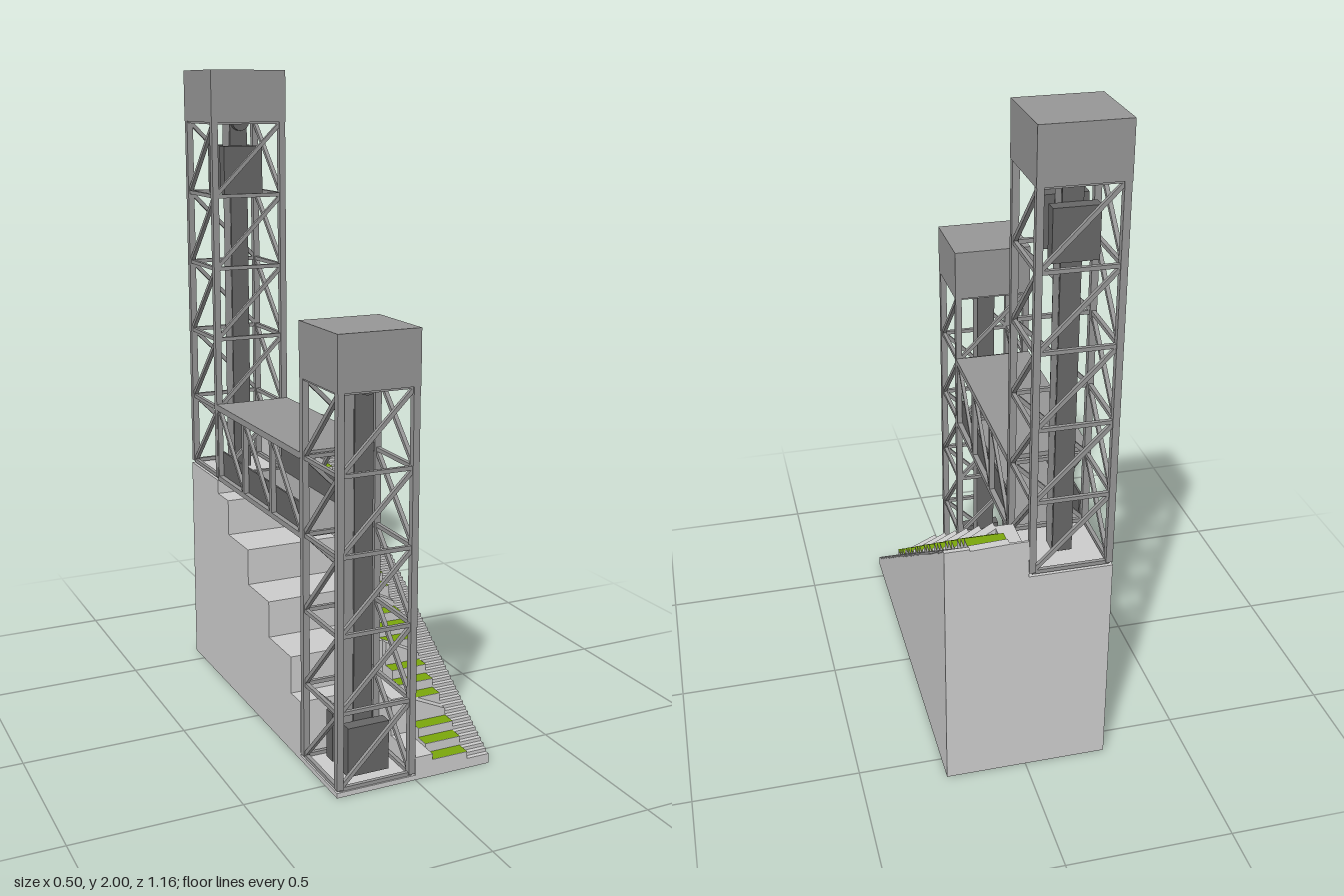
import * as THREE from 'three';

const mat = (color) => new THREE.MeshStandardMaterial({ color, flatShading: true });
const CONCRETE = mat(0xcccccc), STEEL = mat(0x969696), DARK = mat(0x666666), GREEN = mat(0x7ba60c);

function add(parent, name, geometry, material) {
  const mesh = new THREE.Mesh(geometry, material);
  mesh.name = name;
  parent.add(mesh);
  return mesh;
}

// Box given by its min and max on each axis
function box(parent, name, material, x0, x1, y0, y1, z0, z1) {
  const m = add(parent, name, new THREE.BoxGeometry(x1 - x0, y1 - y0, z1 - z0), material);
  m.position.set((x0 + x1) / 2, (y0 + y1) / 2, (z0 + z1) / 2);
}

// Square bar between two points, in the parent's own frame
function bar(parent, name, a, b, size) {
  const from = new THREE.Vector3(...a), to = new THREE.Vector3(...b);
  const m = add(parent, name, new THREE.BoxGeometry(size, size, from.distanceTo(to)), STEEL);
  m.quaternion.setFromRotationMatrix(new THREE.Matrix4().lookAt(to, from, new THREE.Vector3(0, 1, 0)));
  m.position.copy(from).add(to).multiplyScalar(0.5);
}

// Stepped solid from [z, y] points, front to back, extruded along x down to the ground
function solid(parent, name, x0, x1, pts) {
  const shape = new THREE.Shape();
  shape.moveTo(-pts[0][0], 0);
  pts.forEach(([z, y]) => shape.lineTo(-z, y));
  shape.lineTo(-pts[pts.length - 1][0], 0);
  const g = new THREE.ExtrudeGeometry(shape, { depth: x1 - x0, bevelEnabled: false });
  g.rotateY(Math.PI / 2).translate(x0, 0, 0);
  add(parent, name, g, CONCRETE);
}

const END = 0.58, PITCH = 1 / 6, TOP = 0.81;
const terraceZ = (k) => Math.min(END, 0.594 - PITCH * k);
const terraceY = (k) => Math.min(TOP, 0.07 + 0.115 * k);
const stairY = (z) => 0.03 + 0.672 * (END - z);

// Terrace profile between two z limits
function terraces(zFront, zBack) {
  const pts = [];
  for (let k = 0; k <= 7; k++) {
    const a = Math.min(zFront, terraceZ(k));
    const b = Math.max(zBack, k < 7 ? terraceZ(k + 1) : -END);
    if (a - b > 1e-4) pts.push([a, terraceY(k)], [b, terraceY(k)]);
  }
  return pts;
}

function buildHill() {
  const hill = new THREE.Group();
  hill.name = 'steppedHill';
  // Lower floors for the towers, with terraces between them
  solid(hill, 'towerSideGround', -0.25, 0, [
    [END, 0.015], [0.33, 0.015], ...terraces(0.33, -0.33), [-0.33, 0.69], [-END, 0.69],
  ]);
  solid(hill, 'terraces', 0, 0.056, terraces(END, -END));

  // Narrow stair along the outer edge
  const n = 77, stair = [];
  for (let i = 0; i < n; i++) {
    const y = 0.03 + (TOP - 0.03) * i / (n - 1);
    stair.push([END - 2 * END * i / n, y], [END - 2 * END * (i + 1) / n, y]);
  }
  solid(hill, 'stair', 0.171, 0.245, stair);

  // Planted steps, three per terrace, each with a green top
  const steps = [];
  for (let k = 0; k < 7; k++) {
    const front = END - PITCH * k;
    for (let j = 0; j < 3; j++) {
      const a = front - 0.0437 * j, b = a - 0.0437, y = terraceY(k) - 0.018 + 0.029 * j;
      steps.push([a, y], [b, y]);
      const top = new THREE.PlaneGeometry(0.115, a - b).rotateX(-Math.PI / 2);
      add(hill, 'greenTread', top, GREEN).position.set(0.1135, y + 0.001, (a + b) / 2);
    }
    const [z, y] = steps[steps.length - 1];
    steps.push([Math.max(-END, z - 0.0356), y]);
  }
  solid(hill, 'plantedSteps', 0.056, 0.171, steps);

  // Sloped landings joining each terrace to the stair
  for (let k = 1; k <= 7; k++) {
    const front = terraceZ(k) + 0.021, back = Math.max(-END, terraceZ(k) - 0.014);
    const yStair = Math.min(TOP, stairY(terraceZ(k)));
    const s = new THREE.Shape([[0.056, 0], [0.171, 0], [0.171, yStair], [0.056, terraceY(k)]]
      .map(([x, y]) => new THREE.Vector2(x, y)));
    const g = new THREE.ExtrudeGeometry(s, { depth: front - back, bevelEnabled: false });
    add(hill, 'slopedLanding', g.translate(0, 0, back), CONCRETE);
  }
  return hill;
}

function buildTower(name, z, base, carY) {
  const tower = new THREE.Group();
  tower.name = name;
  const h = 0.114, bays = 5, top = 1.14, bay = top / bays;
  // Four identical lattice sides
  for (let side = 0; side < 4; side++) {
    const face = new THREE.Group();
    face.name = 'latticeSide';
    face.rotation.y = side * Math.PI / 2;
    box(face, 'cornerColumn', STEEL, h - 0.01, h + 0.01, 0, top, h - 0.01, h + 0.01);
    for (let i = 0; i <= bays; i++) {
      const y = i * bay;
      bar(face, 'crossBar', [-h, y, h], [h, y, h], 0.012);
      if (i < bays) bar(face, 'diagonal', [-h, y, h], [h, y + bay, h], 0.012);
    }
    tower.add(face);
  }
  box(tower, 'cap', STEEL, -0.125, 0.125, top, 1.3, -0.125, 0.125);
  // Lift mast with dark guides, front pulley and the car around it
  box(tower, 'mast', STEEL, -0.03, 0.03, 0, top, -0.028, 0.028);
  const pulley = add(tower, 'pulley', new THREE.CylinderGeometry(0.028, 0.028, 0.02, 16), DARK);
  pulley.rotation.x = Math.PI / 2;
  pulley.position.set(0, top, 0.045);
  for (const s of [-1, 1]) {
    box(tower, 'guide', DARK, -0.029, 0.029, 0, top, s * 0.03 - 0.003, s * 0.03 + 0.003);
    const near = s * 0.033, far = s * 0.072;
    box(tower, 'liftCar', DARK, -0.065, 0.065, carY, carY + 0.15, Math.min(near, far), Math.max(near, far));
  }
  tower.position.set(-0.125, base, z);
  return tower;
}

function buildBridge() {
  const bridge = new THREE.Group();
  bridge.name = 'bridge';
  const z = 0.33, span = 2 * z / 3, lo = 0.698, hi = 0.934;
  box(bridge, 'floor', STEEL, -0.24, -0.01, 0.69, 0.702, -z, z);
  box(bridge, 'roof', STEEL, -0.25, 0, 0.925, 0.945, -z, z);
  // Two mirrored truss sides with dark parapets behind
  for (const s of [-1, 1]) {
    const x = -0.125 + s * 0.115;
    box(bridge, 'parapet', DARK, x - s * 0.012 - 0.003, x - s * 0.012 + 0.003, 0.70, 0.785, -z, z);
    bar(bridge, 'lowerChord', [x, lo, -z], [x, lo, z], 0.016);
    for (let i = 0; i <= 3; i++) {
      const a = -z + i * span;
      bar(bridge, 'post', [x, lo, a], [x, hi, a + 1e-5], 0.016);
      if (i < 3) bar(bridge, 'diagonal', [x, s > 0 ? lo : hi, a], [x, s > 0 ? hi : lo, a + span], 0.011);
    }
  }
  return bridge;
}

export function createModel() {
  const model = new THREE.Group();
  model.name = 'hillsideLift';
  model.add(
    buildHill(),
    buildTower('frontTower', 0.455, 0.02, 0.005),
    buildTower('backTower', -0.455, 0.70, 0.915),
    buildBridge(),
  );
  return model;
}
